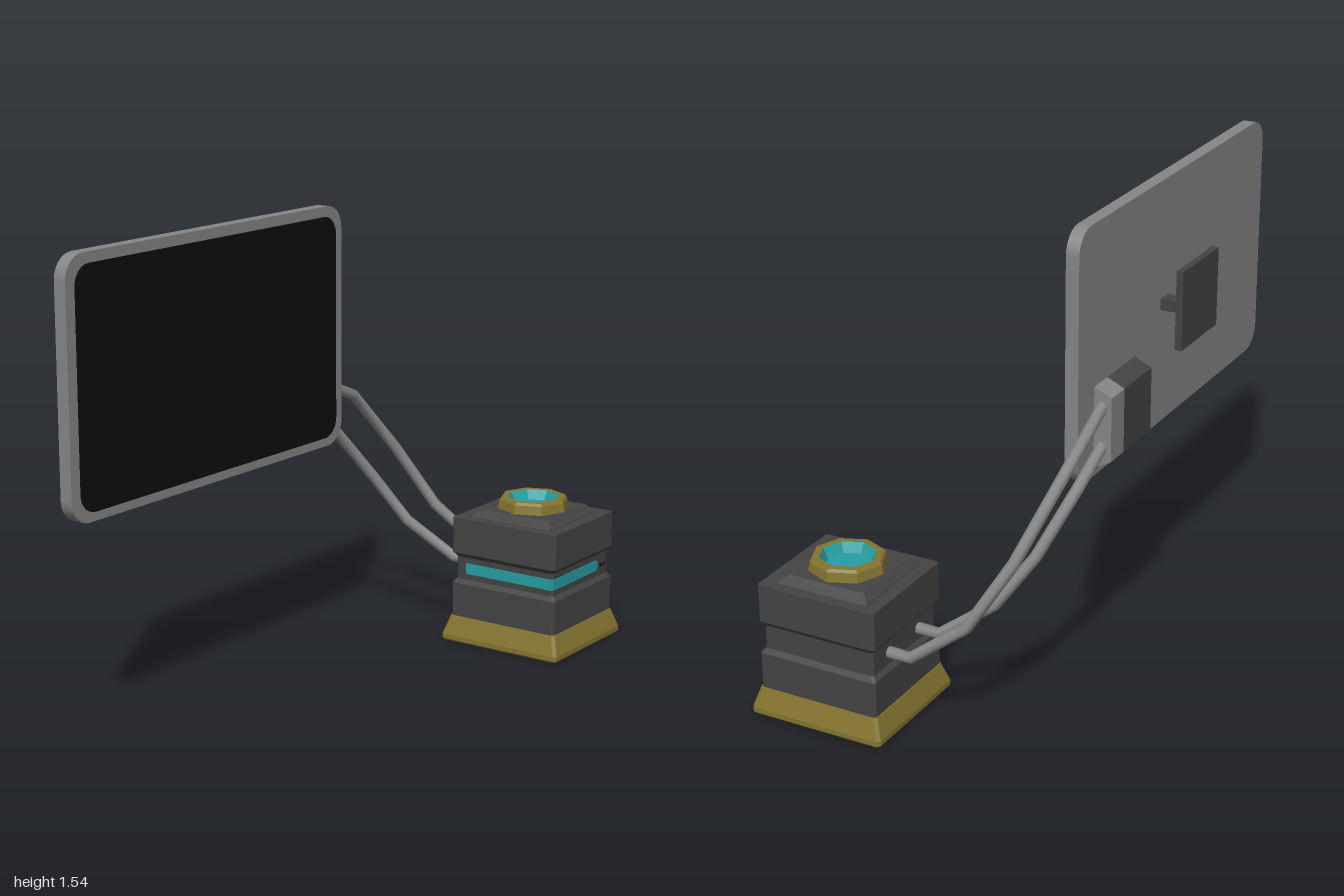
import * as THREE from 'three';

const mat = (name, color) => {
  const m = new THREE.MeshStandardMaterial({ color });
  m.name = name;
  return m;
};

// Facets a geometry so every flat side keeps a crisp edge
function faceted(geometry) {
  const g = geometry.index ? geometry.toNonIndexed() : geometry;
  g.computeVertexNormals();
  return g;
}

// Stacks chamfered rectangles: each section is [y, halfX, halfZ]
function stack(sections, c) {
  const pos = [], idx = [];
  for (const [y, a, b] of sections) {
    const ring = [[a, c - b], [a, b - c], [a - c, b], [c - a, b], [-a, b - c], [-a, c - b], [c - a, -b], [a - c, -b]];
    for (const [x, z] of ring) pos.push(x, y, z);
  }
  const last = (sections.length - 1) * 8;
  for (let s = 0; s < last; s += 8) {
    for (let i = 0; i < 8; i++) {
      const j = (i + 1) % 8;
      idx.push(s + i, s + 8 + j, s + j, s + i, s + 8 + i, s + 8 + j);
    }
  }
  for (let i = 1; i < 7; i++) idx.push(0, i, i + 1, last, last + i + 1, last + i);
  const g = new THREE.BufferGeometry();
  g.setAttribute('position', new THREE.Float32BufferAttribute(pos, 3));
  g.setIndex(idx);
  return faceted(g);
}

// Rounded rectangle centred on the origin, extruded along z
function roundedSlab(w, h, r, depth) {
  const x = w / 2, y = h / 2, s = new THREE.Shape();
  s.moveTo(r - x, -y);
  s.lineTo(x - r, -y);
  s.absarc(x - r, r - y, r, -Math.PI / 2, 0);
  s.absarc(x - r, y - r, r, 0, Math.PI / 2);
  s.absarc(r - x, y - r, r, Math.PI / 2, Math.PI);
  s.absarc(r - x, r - y, r, Math.PI, Math.PI * 1.5);
  return new THREE.ExtrudeGeometry(s, { depth, bevelEnabled: false, curveSegments: 6 });
}

// Straight-segment path with one ring of the tube at each bend
class BentPath extends THREE.Curve {
  constructor(points) {
    super();
    this.points = points.map(p => new THREE.Vector3(...p));
  }
  getPoint(t, target = new THREE.Vector3()) {
    const n = this.points.length - 1, i = Math.min(Math.floor(t * n + 1e-9), n - 1);
    return target.lerpVectors(this.points[i], this.points[i + 1], t * n - i);
  }
  getUtoTmapping(u) { return u; }
}

export function createModel() {
  const grey = mat('grey metal', 0x868686);
  const dark = mat('dark casing', 0x444444);
  const black = mat('black glass', 0x0d0d0d);
  const gold = mat('old gold', 0x857530);
  const teal = mat('teal light', 0x259fa4);

  const model = new THREE.Group();
  model.name = 'monitorWithPowerUnit';
  const add = (parent, name, geometry, material, x = 0, y = 0, z = 0) => {
    const mesh = new THREE.Mesh(geometry, material);
    mesh.name = name;
    mesh.position.set(x, y, z);
    parent.add(mesh);
    return mesh;
  };
  const box = (parent, name, w, h, d, material, x, y, z) =>
    add(parent, name, new THREE.BoxGeometry(w, h, d), material, x, y, z);

  // Screen panel and glass
  const monitor = new THREE.Group();
  monitor.name = 'monitor';
  model.add(monitor);
  add(monitor, 'screenFrame', roundedSlab(1.39, 0.835, 0.08, 0.045), grey, -0.305, 1.1275, -0.375);
  add(monitor, 'screenGlass', roundedSlab(1.315, 0.77, 0.065, 0.004), black, -0.3025, 1.125, -0.331);

  // Wall mount on two bars
  box(monitor, 'mountPlate', 0.275, 0.27, 0.024, dark, -0.3025, 1.125, -0.453);
  for (const x of [-0.388, -0.22]) box(monitor, 'mountBar', 0.058, 0.038, 0.07, dark, x, 1.127, -0.408);

  // Connector housing: bevelled profile extruded along x
  const profile = new THREE.Shape([[0.37, 0.735], [0.435, 0.77], [0.435, 0.985], [0.37, 1.015]]
    .map(p => new THREE.Vector2(...p)));
  const housing = (name, x0, x1, material) => {
    const g = new THREE.ExtrudeGeometry(profile, { depth: x1 - x0, bevelEnabled: false });
    g.rotateY(Math.PI / 2);
    add(monitor, name, g, material, x0, 0, 0);
  };
  housing('connectorCover', -0.005, 0.19, dark);
  housing('connectorSocket', 0.19, 0.28, grey);

  // Cables from the socket to the back of the power unit
  const cables = {
    upperCable: [[0.26, 0.955, -0.4], [0.585, 0.83, -0.42], [0.755, 0.61, -0.35], [0.835, 0.4, -0.23], [0.865, 0.265, -0.05], [0.865, 0.265, 0.05]],
    lowerCable: [[0.26, 0.82, -0.4], [0.44, 0.735, -0.4], [0.575, 0.55, -0.33], [0.64, 0.385, -0.22], [0.69, 0.265, -0.05], [0.69, 0.265, 0.05]],
  };
  for (const [name, points] of Object.entries(cables)) {
    add(model, name, new THREE.TubeGeometry(new BentPath(points), points.length - 1, 0.02, 8), grey);
  }

  // Power unit: flared foot, grooved body, raised top
  const unit = new THREE.Group();
  unit.name = 'powerUnit';
  unit.position.set(0.775, 0, 0.225);
  model.add(unit);
  add(unit, 'foot', stack([[0, 0.22, 0.23], [0.006, 0.225, 0.235], [0.022, 0.225, 0.235], [0.09, 0.203, 0.213]], 0.01), gold);
  add(unit, 'body', stack([
    [0.088, 0.2, 0.21], [0.21, 0.2, 0.21], [0.226, 0.188, 0.197],
    [0.306, 0.188, 0.197], [0.322, 0.2, 0.21], [0.448, 0.2, 0.21],
  ], 0.008), dark);
  add(unit, 'topPlinth', stack([[0.445, 0.165, 0.165], [0.45, 0.165, 0.165], [0.475, 0.137, 0.137]], 0.008), dark);

  // Octagonal collar with a glowing well
  const lathe = points => faceted(new THREE.LatheGeometry(points.map(p => new THREE.Vector2(...p)), 8));
  add(unit, 'collar', lathe([[0.128, 0.472], [0.122, 0.506], [0.115, 0.515], [0.092, 0.515]]), gold);
  add(unit, 'glowWell', lathe([[0.092, 0.515], [0.075, 0.482], [0, 0.482]]), teal);

  // Light strip wrapping the front and the right side, in the groove
  const strip = new THREE.Shape([[-0.19, -0.019], [0.107, -0.019], [0.117, -0.009], [0.117, 0.009], [0.107, 0.019], [-0.19, 0.019]]
    .map(p => new THREE.Vector2(...p)));
  const stripGeometry = new THREE.ExtrudeGeometry(strip, { depth: 0.006, bevelEnabled: false });
  add(unit, 'frontLightStrip', stripGeometry, teal, 0, 0.267, 0.194);
  box(unit, 'sideLightStrip', 0.006, 0.038, 0.35, teal, -0.189, 0.267, 0.02);
  for (const x of [0.14, 0.16]) box(unit, 'indicator', 0.01, 0.012, 0.006, black, x, 0.262, 0.196);

  return model;
}
